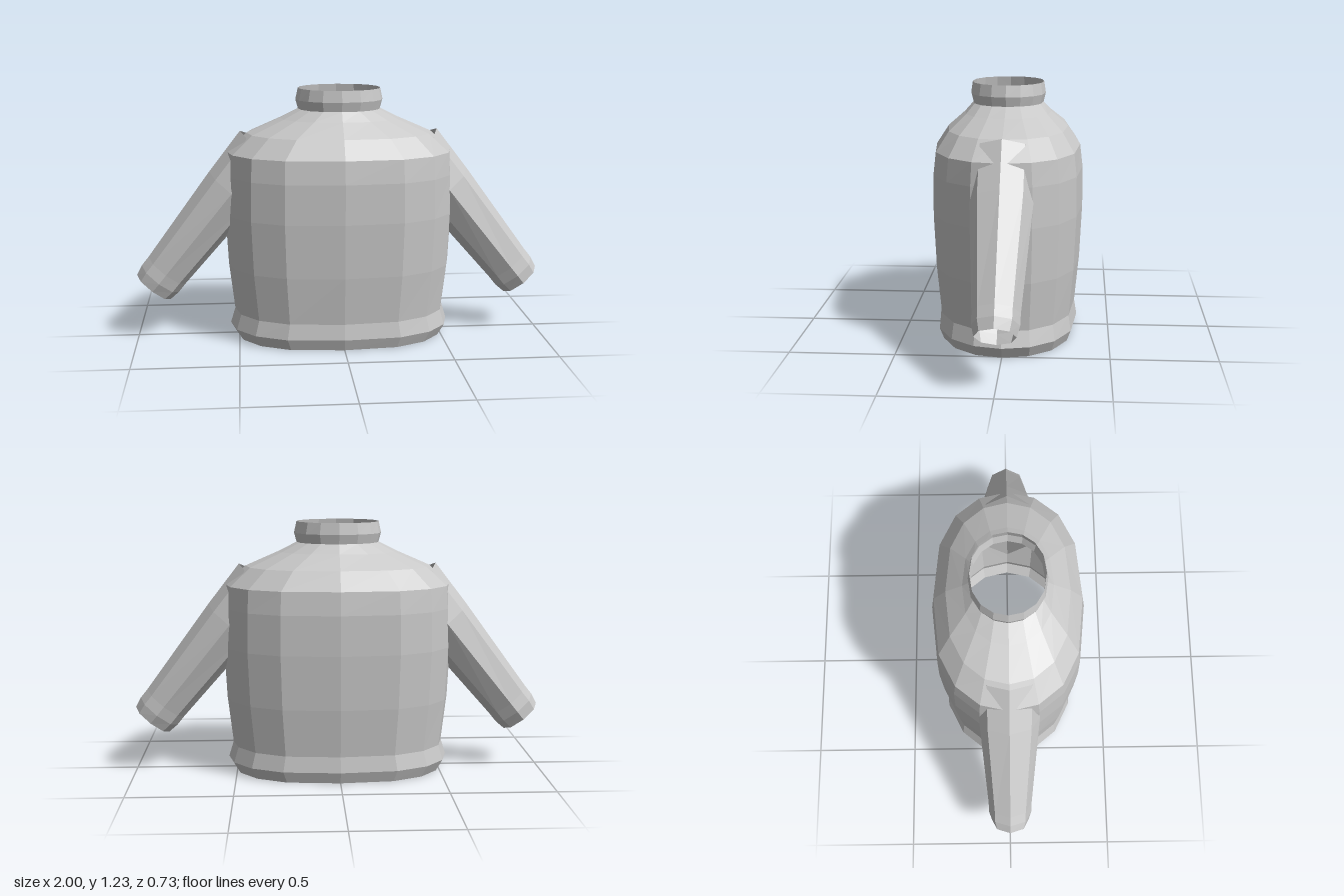
import * as THREE from 'three';

// Open faceted tube from rings [y, radiusX, radiusZ, squareness];
// a lower squareness exponent widens the front and back.
function loft(rings, sides) {
  const pos = [], index = [];
  for (const [y, rx, rz, p = 1] of rings) {
    for (let i = 0; i < sides; i++) {
      const a = (i / sides) * Math.PI * 2;
      const c = Math.cos(a);
      pos.push(Math.sign(c) * Math.pow(Math.abs(c), p) * rx, y, Math.sin(a) * rz);
    }
  }
  for (let j = 0; j < rings.length - 1; j++) {
    for (let i = 0; i < sides; i++) {
      const k = (i + 1) % sides;
      const a = j * sides + i, b = j * sides + k;
      const c = a + sides, d = b + sides;
      index.push(a, c, b, b, c, d);
    }
  }
  const geo = new THREE.BufferGeometry();
  geo.setAttribute('position', new THREE.Float32BufferAttribute(pos, 3));
  geo.setIndex(index);
  const flat = geo.toNonIndexed();
  flat.computeVertexNormals();
  return flat;
}

export function createModel() {
  const model = new THREE.Group();
  model.name = 'sweater';
  const knit = new THREE.MeshStandardMaterial({
    color: 0xc8c8c8, flatShading: true, side: THREE.DoubleSide,
  });
  knit.name = 'grey knit';

  const add = (parent, name, rings, sides) => {
    const mesh = new THREE.Mesh(loft(rings, sides), knit);
    mesh.name = name;
    parent.add(mesh);
    return mesh;
  };

  // Body, open at the hem and the neck
  const hemTop = [0.13, 0.52, 0.33, 0.72];
  const neckBase = [1.125, 0.2, 0.17, 0.88];
  add(model, 'hem', [
    [0, 0.51, 0.322, 0.72],
    [0.055, 0.543, 0.342, 0.72],
    hemTop,
  ], 16);
  add(model, 'torso', [
    hemTop,
    [0.36, 0.547, 0.352, 0.72],
    [0.62, 0.56, 0.364, 0.72],
    [0.81, 0.557, 0.363, 0.72],
    [0.92, 0.55, 0.35, 0.72],
    [1.01, 0.45, 0.29, 0.75],
    [1.08, 0.29, 0.21, 0.8],
    neckBase,
  ], 16);
  add(model, 'collar', [
    neckBase,
    [1.17, 0.212, 0.181, 0.88],
    [1.225, 0.2, 0.173, 0.88],
  ], 16);

  // Sleeves, tapering out of the shoulders to open cuffs
  const cuffStart = [0.77, 0.113, 0.106];
  for (const side of [1, -1]) {
    const arm = new THREE.Group();
    arm.name = side > 0 ? 'leftArm' : 'rightArm';
    add(arm, 'sleeve', [[0, 0.143, 0.145], [0.25, 0.138, 0.144], cuffStart], 8);
    add(arm, 'cuff', [cuffStart, [0.825, 0.113, 0.105], [0.878, 0.103, 0.092]], 8);
    arm.position.set(side * 0.37, 0.93, 0);
    arm.rotation.z = -side * 2.465;
    model.add(arm);
  }
  return model;
}
